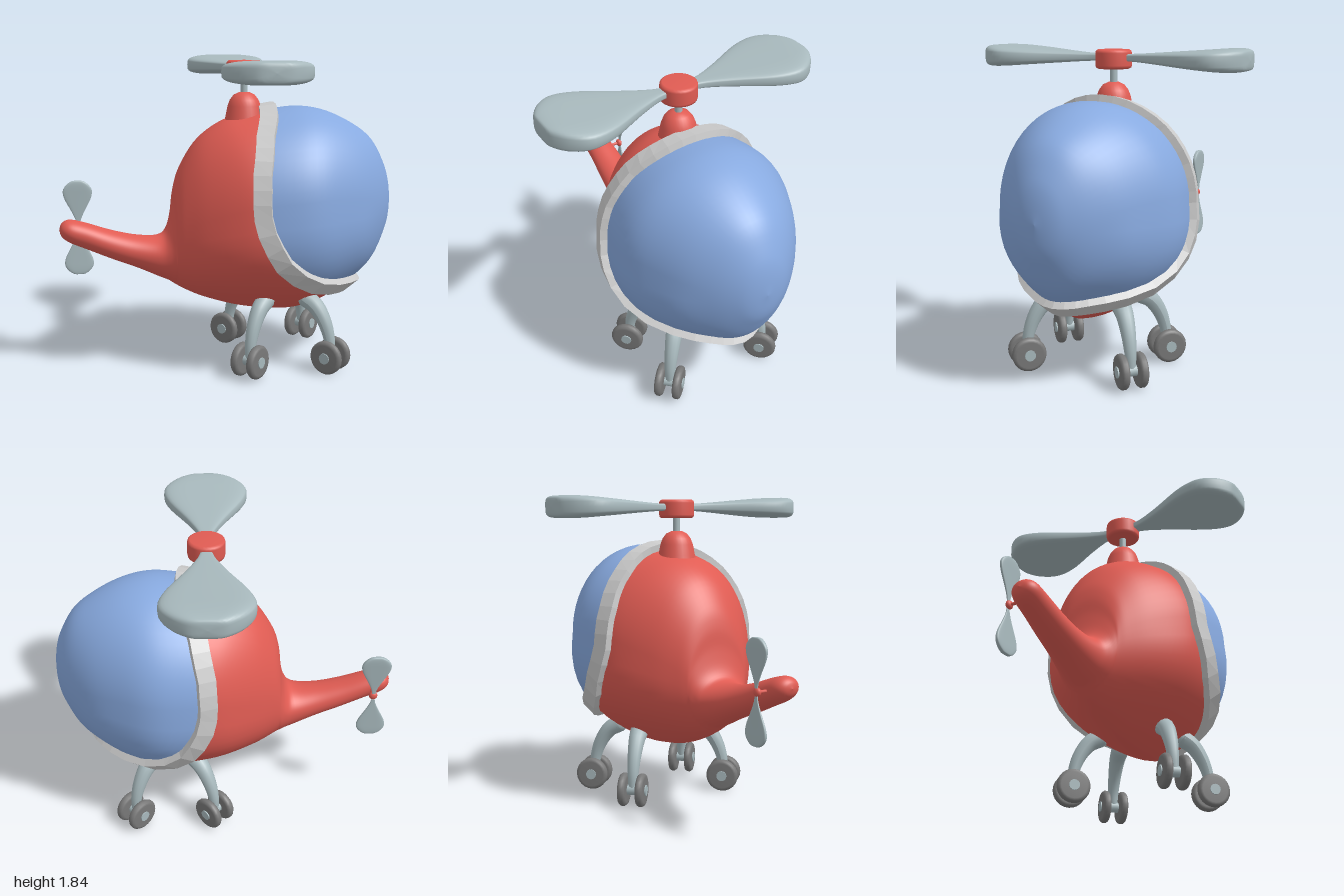
import * as THREE from 'three';

const mat = (color, extra = {}) => new THREE.MeshStandardMaterial({ color, ...extra });
const red = mat(0xe05c53), blue = mat(0x88aae0), steel = mat(0xa8b9bd), tyre = mat(0x787878);
const grey = mat(0xcccccc, { flatShading: true });
const V = (x, y, z) => new THREE.Vector3(x, y, z);

function add(parent, name, geometry, material, x = 0, y = 0, z = 0) {
  const mesh = new THREE.Mesh(geometry, material);
  mesh.name = name;
  mesh.position.set(x, y, z);
  parent.add(mesh);
  return mesh;
}

// Skin over rings: fn(u, v) with u along the part and v around it (closed)
function skin(fn, nu, nv) {
  const pos = [], idx = [];
  for (let i = 0; i <= nu; i++)
    for (let j = 0; j < nv; j++) pos.push(...fn(i / nu, j / nv).toArray());
  for (let i = 0; i < nu; i++)
    for (let j = 0; j < nv; j++) {
      const k = (j + 1) % nv, a = i * nv + j, b = a + nv, c = (i + 1) * nv + k, d = i * nv + k;
      idx.push(a, b, c, a, c, d);
    }
  const g = new THREE.BufferGeometry();
  g.setAttribute('position', new THREE.Float32BufferAttribute(pos, 3));
  g.setIndex(idx);
  g.computeVertexNormals();
  return g;
}

// Hull stations from tail to nose: x, top, bottom, half width, height of widest point
const stations = [
  [-1, .85, .85, 0, .85], [-.985, .89, .81, .05, .85], [-.94, .91, .775, .08, .845],
  [-.85, .89, .735, .087, .815], [-.7, .84, .67, .1, .755], [-.55, .805, .61, .117, .71],
  [-.42, .8, .55, .147, .69], [-.365, .85, .525, .172, .71], [-.335, .97, .505, .195, .75],
  [-.32, 1.1, .495, .21, .79], [-.28, 1.22, .47, .25, .83], [-.18, 1.37, .42, .338, .88],
  [-.04, 1.47, .37, .43, .93], [.1, 1.51, .335, .49, .97], [.3, 1.545, .31, .525, .99],
  [.45, 1.555, .32, .515, 1], [.6, 1.525, .37, .455, 1], [.75, 1.455, .47, .37, .99],
  [.87, 1.365, .59, .265, .98], [.95, 1.23, .74, .165, .98], [.985, 1.12, .84, .09, .98],
  [1, .98, .98, 0, .98],
];
const spline = (pick) => new THREE.CatmullRomCurve3(stations.map(pick), false, 'catmullrom', .5);
const outline = spline((s) => V(s[0], s[1], s[2]));
const breadth = spline((s) => V(s[3], s[4], 0));

// Hull point: round above, slightly keeled below
function hull(t, a) {
  const { x, y: top, z: bottom } = outline.getPoint(t);
  const { x: w, y: mid } = breadth.getPoint(t);
  const c = Math.cos(a), s = Math.sin(a);
  if (s >= 0) return V(x, mid + (top - mid) * s, w * c);
  const k = THREE.MathUtils.smoothstep(x, -.5, 0) * (1 - THREE.MathUtils.smoothstep(x, .7, .9));
  const d = -s, drop = d - .1 * k * Math.abs(c) * d ** 4;
  return V(x, mid - (mid - bottom) * drop, w * c * (1 + .2 * k * d * (1 - 2 * d * d)));
}

// Window edge in side view: y, x
const edge = [[1.7, .29], [1.54, .235], [1.4, .16], [1.2, .115], [1, .105], [.85, .14], [.7, .235],
  [.6, .36], [.55, .47], [.525, .57], [.505, .68], [.49, .75], [.3, 1.7]];
function edgeX(y) {
  const i = Math.max(1, edge.findIndex((e) => e[0] <= y));
  const [p, q] = [edge[i - 1], edge[i]];
  return THREE.MathUtils.mapLinear(y, p[0], q[0], p[1], q[1]);
}

// Where the hull line at angle a crosses the window edge
const cache = new Map();
function split(a) {
  if (!cache.has(a)) {
    let lo = 0, hi = 1;
    for (let n = 0; n < 30; n++) {
      const m = (lo + hi) / 2, p = hull(m, a);
      if (p.x > edgeX(p.y)) hi = m; else lo = m;
    }
    cache.set(a, lo);
  }
  return cache.get(a);
}

// Flat band that follows the window edge
function frameGeometry() {
  const corners = [[.055, -.03], [.05, .04], [-.05, .04], [-.055, -.03]];
  const e = .003;
  return skin((u, v) => {
    const a = (u % 1) * Math.PI * 2 - Math.PI / 2, t = split(a), p = hull(t, a);
    const along = hull(split(a + .04), a + .04).sub(hull(split(a - .04), a - .04)).normalize();
    const n = hull(t + e, a).sub(hull(t - e, a))
      .cross(hull(t, a + .02).sub(hull(t, a - .02))).normalize();
    const side = along.clone().cross(n).normalize();
    const [w, h] = corners[Math.round(v * 4)];
    return p.addScaledVector(side, w).addScaledVector(n, h);
  }, 44, 4);
}

// Paddle blade along +z: distance, half width, half thickness
const paddle = new THREE.CatmullRomCurve3([
  [.06, .03, .02], [.15, .048, .023], [.3, .115, .033], [.48, .21, .046], [.6, .246, .055],
  [.68, .235, .061], [.75, .185, .063], [.795, .125, .058], [.815, .075, .045], [.82, 0, 0],
].map((p) => V(...p)), false, 'catmullrom', .5);
const bladeGeometry = skin((u, v) => {
  const p = paddle.getPoint(u), a = -v * Math.PI * 2;
  const soft = (k) => Math.sign(k) * Math.abs(k) ** .5;
  return V(Math.max(0, p.y) * soft(Math.cos(a)), Math.max(0, p.z) * soft(Math.sin(a)), p.x);
}, 27, 32);

function blades(name) {
  const g = new THREE.Group();
  g.name = name;
  for (const turn of [0, Math.PI]) add(g, 'blade', bladeGeometry, steel).rotation.y = turn;
  return g;
}

// Leg tube that narrows towards the wheels
function legGeometry() {
  const path = new THREE.CatmullRomCurve3(
    [V(-.17, .425, 0), V(-.105, .385, 0), V(-.045, .3, 0), V(-.01, .2, 0), V(0, .1, 0)]);
  const g = new THREE.TubeGeometry(path, 20, 1, 14), pos = g.attributes.position, q = V();
  for (let i = 0; i < pos.count; i++) {
    const u = Math.floor(i / 15) / 20, c = path.getPointAt(u);
    q.fromBufferAttribute(pos, i).sub(c).multiplyScalar(.056 - .03 * u).add(c);
    pos.setXYZ(i, q.x, q.y, q.z);
  }
  g.computeVertexNormals();
  return g;
}

const lathe = (pts, n = 28) => new THREE.LatheGeometry(pts.map((p) => new THREE.Vector2(...p)), n);

export function createModel() {
  const model = new THREE.Group();
  model.name = 'helicopter';

  // Hull, window and frame
  const angle = (v) => v * Math.PI * 2 - Math.PI / 2;
  add(model, 'body', skin((u, v) => hull(u * split(angle(v)), angle(v)), 64, 56), red);
  add(model, 'canopy', skin((u, v) => {
    const t = split(angle(v));
    return hull(t + u * (1 - t), angle(v));
  }, 28, 56), blue);
  add(model, 'windowFrame', frameGeometry(), grey);

  // Main rotor
  add(model, 'rotorBase', lathe([[.125, 1.44], [.11, 1.5], [.098, 1.56], [.085, 1.595], [.062, 1.625],
    [.03, 1.64], [0, 1.643]]), red, .1);
  add(model, 'mast', new THREE.CylinderGeometry(.021, .021, .14, 16), steel, .1, 1.68);
  add(model, 'rotorHub', lathe([[0, -.055], [.09, -.055], [.102, -.048], [.105, -.035], [.105, .035],
    [.102, .046], [.09, .054], [0, .054]]), red, .1, 1.771);
  const rotor = blades('mainRotor');
  rotor.position.set(.1, 1.78, 0);
  model.add(rotor);

  // Tail rotor
  const tail = blades('tailRotor');
  tail.position.set(-.885, .83, -.147);
  tail.rotation.x = Math.PI / 2;
  tail.scale.set(.35, .22, .35);
  model.add(tail);
  add(model, 'tailShaft', new THREE.CylinderGeometry(.009, .009, .1, 10), red, -.885, .83, -.1)
    .rotation.x = Math.PI / 2;
  add(model, 'tailHub', new THREE.SphereGeometry(.025, 16, 12), red, -.885, .83, -.14)
    .scale.z = .7;

  // Four legs, each with a pair of wheels across the diagonal
  const legShape = legGeometry();
  const wheelShape = lathe([[0, -.024], [.078, -.024], [.092, -.02], [.1, -.009], [.1, .009],
    [.092, .02], [.078, .024], [0, .024]], 24);
  for (const sx of [-1, 1]) for (const sz of [-1, 1]) {
    const leg = new THREE.Group();
    leg.name = (sx > 0 ? 'front' : 'rear') + (sz > 0 ? 'Right' : 'Left') + 'Leg';
    leg.position.set(.315 + sx * .245, 0, sz * .335);
    leg.rotation.y = Math.atan2(-sz, sx);
    add(leg, 'strut', legShape, steel);
    add(leg, 'strutTop', new THREE.SphereGeometry(.055, 16, 12), steel, -.165, .422, 0);
    add(leg, 'axle', new THREE.CylinderGeometry(.032, .032, .17, 16), steel, 0, .1, 0)
      .rotation.x = Math.PI / 2;
    for (const s of [-1, 1])
      add(leg, 'wheel', wheelShape, tyre, 0, .1, s * .054).rotation.x = Math.PI / 2;
    model.add(leg);
  }
  return model;
}
